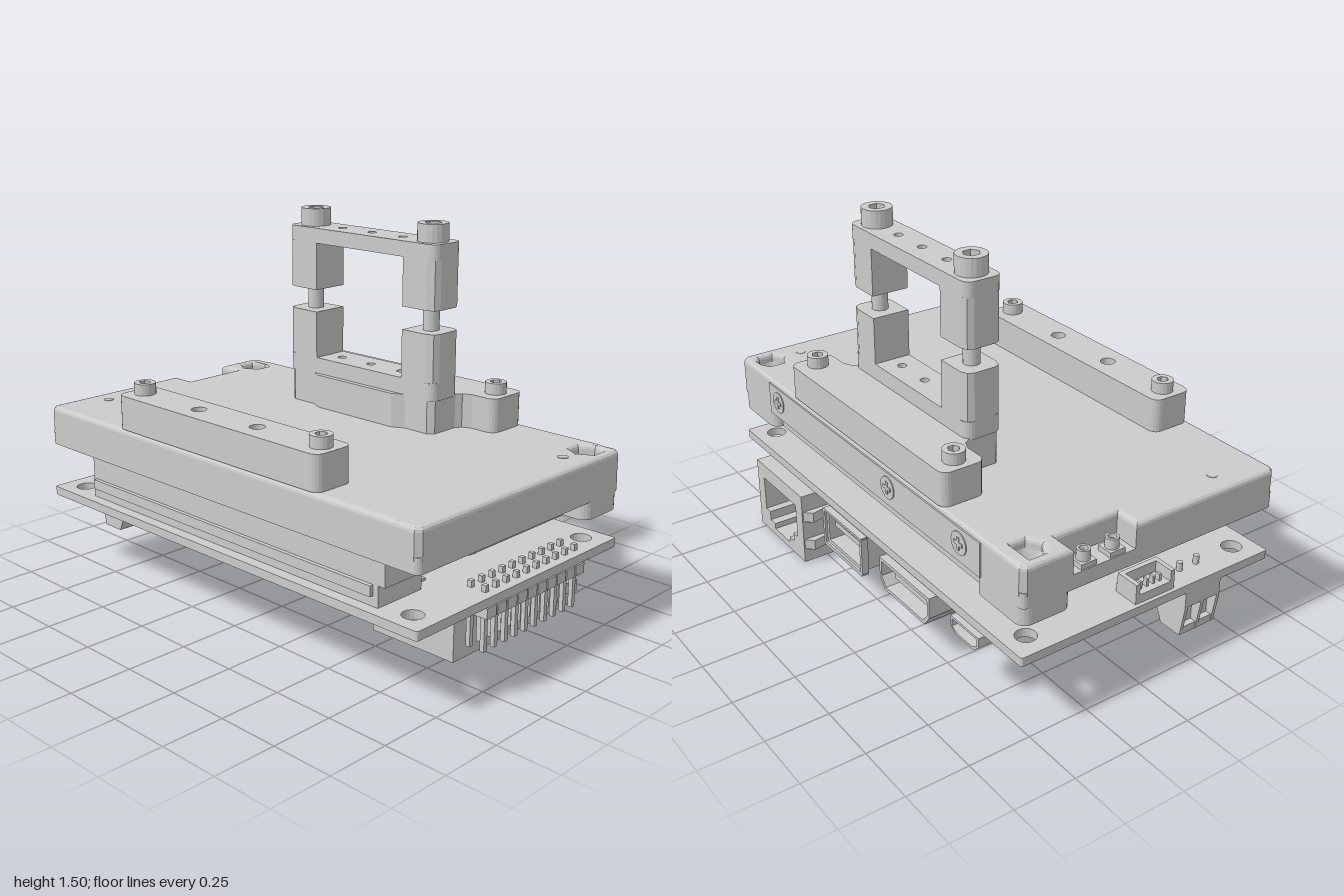
import * as THREE from 'three';

const grey = new THREE.MeshStandardMaterial({ color: 0xcccccc, side: THREE.DoubleSide });

export function createModel() {
  const root = new THREE.Group();

  const add = (name, geo, x = 0, y = 0, z = 0) => {
    const m = new THREE.Mesh(geo, grey);
    m.name = name;
    m.position.set(x, y, z);
    root.add(m);
    return m;
  };
  // box from its limits
  const box = (name, x0, x1, y0, y1, z0, z1) =>
    add(name, new THREE.BoxGeometry(x1 - x0, y1 - y0, z1 - z0), (x0 + x1) / 2, (y0 + y1) / 2, (z0 + z1) / 2);
  const cyl = (name, r, y0, y1, x, z, n = 20) =>
    add(name, new THREE.CylinderGeometry(r, r, y1 - y0, n), x, (y0 + y1) / 2, z);
  // closed outline from points; the second coordinate is z in plan
  const plan = (pts) => new THREE.Shape(pts.map(([x, z]) => new THREE.Vector2(x, -z)));
  const roundRect = (x0, x1, z0, z1, r) => {
    const pts = [];
    [[x1 - r, z1 - r], [x0 + r, z1 - r], [x0 + r, z0 + r], [x1 - r, z0 + r]].forEach(([cx, cz], k) => {
      for (let i = 0; i <= 5; i++) {
        const a = (k + i / 5) * Math.PI / 2;
        pts.push([cx + r * Math.cos(a), cz + r * Math.sin(a)]);
      }
    });
    return plan(pts);
  };
  const hole = (x, z, r, n = 20) => {
    const pts = [];
    for (let i = 0; i < n; i++) {
      const a = i / n * Math.PI * 2;
      pts.push(new THREE.Vector2(x + r * Math.cos(a), -z + r * Math.sin(a)));
    }
    return new THREE.Path(pts);
  };
  // horizontal plate: plan outline raised from y0 to y1
  const slab = (name, shape, y0, y1, holes = [], bevel = 0) => {
    shape.holes.push(...holes);
    const g = new THREE.ExtrudeGeometry(shape, {
      depth: y1 - y0 - 2 * bevel, bevelEnabled: bevel > 0, bevelThickness: bevel,
      bevelSize: bevel, bevelOffset: -bevel, bevelSegments: 3,
    });
    g.rotateX(-Math.PI / 2);
    return add(name, g, 0, y0 + bevel, 0);
  };
  // profile of [z, y] points run along x, with an optional opening
  const alongX = (name, pts, x0, x1, opening) => {
    const v = (p) => p.map(([z, y]) => new THREE.Vector2(-z, y));
    const s = new THREE.Shape(v(pts));
    if (opening) s.holes.push(new THREE.Path(v(opening)));
    const g = new THREE.ExtrudeGeometry(s, { depth: x1 - x0, bevelEnabled: false });
    g.rotateY(Math.PI / 2);
    return add(name, g, x0, 0, 0);
  };
  const socketScrew = (name, x, z, y0, y1, r) => {
    slab(name, roundRect(x - r, x + r, z - r, z + r, r * 0.99), y0, y1, [hole(x, z, r * 0.55, 6)]);
    cyl(name + 'Core', r * 0.7, y0, (y0 + y1) / 2, x, z);
  };

  const corners = [-0.515, 0.45].flatMap((x) => [[x, -0.905], [x, 0.905]]);
  const cornerHoles = (r, n) => corners.map(([x, z]) => hole(x, z, r, n));

  // main housing: base layer and bevelled cover with a notch at the back
  slab('housingBase', roundRect(-0.605, 0.54, -1, 1, 0.025), 0.54, 0.60, cornerHoles(0.04, 6));
  const cover = plan([[-0.585, 1], [0.52, 1], [0.54, 0.98], [0.54, -0.98], [0.52, -1], [0.33, -1], [0.33, -0.9],
    [0.06, -0.9], [0.06, -1], [-0.585, -1], [-0.605, -0.98], [-0.605, 0.98]]);
  slab('housingCover', cover, 0.57, 0.70, cornerHoles(0.06, 6), 0.018);
  for (const [x, z] of corners) {
    const sink = new THREE.LatheGeometry([[0.04, 0.54], [0.04, 0.62], [0.078, 0.699]].map((p) => new THREE.Vector2(...p)), 6);
    sink.rotateY(Math.PI / 2);
    add('countersink', sink, x, 0, z);
  }
  for (const x of [0.135, 0.26]) {
    box('antennaSocketBase', x - 0.033, x + 0.033, 0.60, 0.62, -0.995, -0.93);
    slab('antennaSocket', roundRect(x - 0.025, x + 0.025, -0.988, -0.938, 0.0245), 0.62, 0.66, [hole(x, -0.963, 0.016)]);
    cyl('antennaPin', 0.007, 0.62, 0.65, x, -0.963, 8);
  }
  for (const [x, z] of [[-0.38, -0.905], [0.31, 0.9]]) cyl('statusDot', 0.02, 0.69, 0.702, x, z);

  // side panel with cross-head screws
  box('sidePanel', 0.53, 0.546, 0.545, 0.68, -0.77, 0.74);
  for (const z of [0.66, -0.19, -0.65]) {
    cyl('sideScrew', 0.045, -0.004, 0.004, 0, 0).rotation.z = Math.PI / 2;
    root.children.at(-1).position.set(0.546, 0.62, z);
    box('sideScrewCross', 0.546, 0.553, 0.613, 0.627, z - 0.025, z + 0.025);
    box('sideScrewCross', 0.546, 0.553, 0.595, 0.645, z - 0.007, z + 0.007);
  }

  // underside of the housing with corner ears
  slab('lowerHousing', plan([[-0.3, -0.8], [-0.22, -0.9], [0.4, -0.9], [0.5, -0.8], [0.5, 0.8], [0.4, 0.9],
    [-0.22, 0.9], [-0.3, 0.8]]), 0.47, 0.545);
  for (const s of [-1, 1]) {
    const z = s * 0.865;
    slab('cornerEar', roundRect(0.33, 0.54, z - 0.135, z + 0.135, 0.04), 0.47, 0.545, [hole(0.45, s * 0.905, 0.04, 6)]);
  }

  // mounting rails
  slab('leftRail', roundRect(-0.60, -0.425, -0.545, 0.545, 0.035), 0.70, 0.835,
    [-0.16, 0.16].map((z) => hole(-0.513, z, 0.03)));
  slab('rightRail', roundRect(0.36, 0.54, -0.545, 0.545, 0.035), 0.70, 0.835);
  slab('handleFoot', plan([[0.155, -0.2], [0.18, -0.25], [0.18, -0.36], [0.2, -0.385], [0.32, -0.385], [0.345, -0.4],
    [0.37, -0.46], [0.37, 0.46], [0.345, 0.4], [0.32, 0.385], [0.2, 0.385], [0.18, 0.36], [0.18, 0.25], [0.155, 0.2]]), 0.70, 0.835);
  for (const z of [-0.48, 0.48]) for (const x of [-0.513, 0.45]) socketScrew('railScrew', x, z, 0.835, 0.88, 0.042);

  // two-part clamp handle
  const barHoles = () => [-0.16, 0, 0.16].map((z) => hole(0.255, z, 0.018, 12));
  const bar = () => roundRect(0.177, 0.333, -0.39, 0.39, 0.035);
  slab('lowerClampBar', bar(), 0.83, 0.90, barHoles());
  slab('upperClampBar', bar(), 1.37, 1.43, barHoles());
  for (const s of [-1, 1]) {
    const post = () => {
      const p = [[0.177, 0.23], [0.333, 0.23], [0.333, 0.35], [0.322, 0.38], [0.298, 0.39], [0.212, 0.39], [0.188, 0.38], [0.177, 0.35]];
      return plan(p.map(([x, z]) => [x, z * s]));
    };
    slab('lowerClampPost', post(), 0.88, 1.09);
    slab('upperClampPost', post(), 1.18, 1.40);
    cyl('clampRod', 0.032, 1.08, 1.19, 0.255, s * 0.31);
    socketScrew('clampScrew', 0.255, s * 0.31, 1.43, 1.5, 0.06);
  }

  // circuit board
  slab('circuitBoard', roundRect(-0.605, 0.54, -1, 1, 0.01), 0.315, 0.35, cornerHoles(0.04));

  // long board-to-housing connector
  box('edgeConnectorBase', -0.56, -0.34, 0.35, 0.435, -0.78, 0.79);
  box('edgeConnectorTop', -0.56, -0.30, 0.43, 0.54, -0.78, 0.82);
  for (const x of [-0.57, -0.31]) box('edgeConnectorRidge', x - 0.008, x + 0.008, 0.39, 0.43, -0.76, 0.77);
  for (let i = 0; i < 40; i++) {
    const z = -0.74 + i * 0.038;
    box('contactPin', -0.335, -0.27, 0.35, 0.36, z - 0.007, z + 0.007);
    box('contactPin', -0.345, -0.325, 0.35, 0.395, z - 0.007, z + 0.007);
  }

  // double-row pin header
  box('pinHeaderStrip', -0.225, 0.355, 0.265, 0.30, 0.865, 0.985);
  for (let i = 0; i < 10; i++) for (const z of [0.895, 0.957]) {
    const x = -0.2 + i * 0.0585;
    box('headerPin', x - 0.009, x + 0.009, 0.125, 0.375, z - 0.009, z + 0.009);
    box('headerCollar', x - 0.026, x + 0.026, 0.262, 0.303, z - 0.032, z + 0.032);
  }

  // network socket with stepped opening
  const rect = (z0, z1, y0, y1) => [[z0, y0], [z1, y0], [z1, y1], [z0, y1]];
  box('networkSocketBack', -0.155, 0.25, 0.005, 0.315, 0.40, 0.79);
  alongX('networkSocket', rect(0.40, 0.79, 0.005, 0.315), 0.25, 0.605,
    [[0.455, 0.25], [0.735, 0.25], [0.735, 0.10], [0.70, 0.10], [0.70, 0.06], [0.66, 0.06], [0.66, 0.035],
      [0.53, 0.035], [0.53, 0.06], [0.49, 0.06], [0.49, 0.10], [0.455, 0.10]]);
  for (let i = 0; i < 8; i++) box('networkContact', 0.3, 0.58, 0.225, 0.25, 0.497 + i * 0.027, 0.507 + i * 0.027);
  for (const y of [0.09, 0.22]) for (const s of [-1, 1]) {
    const face = 0.595 + s * 0.195;
    slab('springTab', plan([[0.60, face], [0.42, face], [0.57, face + s * 0.03]]), y - 0.022, y + 0.022);
  }
  for (let i = 0; i < 8; i++) cyl('socketSolderPin', 0.011, 0.34, 0.385, -0.02 + (i % 2) * 0.06, 0.48 + i * 0.033, 8);

  // row of side ports
  const usb = rect(-0.01, 0.26, 0.165, 0.315);
  alongX('usbShell', usb, 0.2, 0.565, rect(0.005, 0.245, 0.18, 0.30));
  box('usbBack', 0.2, 0.25, 0.17, 0.31, 0, 0.255);
  box('usbTongue', 0.24, 0.55, 0.25, 0.275, 0.03, 0.22);
  for (const [y0, y1] of [[0.15, 0.165], [0.31, 0.32]]) box('usbFlare', 0.545, 0.575, y0, y1, -0.02, 0.27);
  for (const z of [-0.025, 0.26]) box('usbFlare', 0.545, 0.575, 0.16, 0.315, z, z + 0.015);
  const videoPort = (o) => [[-0.49 + o, 0.31 - o], [-0.15 - o, 0.31 - o], [-0.15 - o, 0.225 + o * 0.5],
    [-0.185 - o * 0.5, 0.18 + o], [-0.455 + o * 0.5, 0.18 + o], [-0.49 + o, 0.225 + o * 0.5]];
  alongX('videoPortShell', videoPort(0), 0.22, 0.57, videoPort(0.014));
  box('videoPortBack', 0.22, 0.28, 0.19, 0.315, -0.475, -0.165);
  box('videoPortTongue', 0.26, 0.54, 0.235, 0.262, -0.43, -0.21);
  const micro = (o) => [[-0.79 + o, 0.315 - o], [-0.62 - o, 0.315 - o], [-0.62 - o, 0.275], [-0.65 - o, 0.25 + o], [-0.76 + o, 0.25 + o], [-0.79 + o, 0.275]];
  alongX('powerPortShell', micro(0), 0.38, 0.565, micro(0.01));
  box('powerPortTongue', 0.38, 0.54, 0.28, 0.292, -0.75, -0.66);

  // memory card slot under the board
  box('cardSlot', -0.05, 0.33, 0.285, 0.318, -0.92, -0.52);
  box('cardSlotLip', -0.03, 0.31, 0.278, 0.29, -0.90, -0.62);

  // two-way terminal block
  alongX('terminalBlock', [[-0.83, 0.315], [-0.83, 0.23], [-0.88, 0.12], [-0.955, 0.12], [-0.955, 0.315]], -0.37, -0.20);
  const cheek = [[-0.95, 0.315], [-0.95, 0.12], [-0.98, 0.12], [-1.0, 0.24], [-1.0, 0.315]];
  for (const x of [-0.37, -0.292, -0.214]) alongX('terminalCheek', cheek, x, x + 0.014);
  box('terminalSill', -0.37, -0.20, 0.12, 0.15, -0.98, -0.95);
  box('terminalHead', -0.37, -0.20, 0.25, 0.315, -1.0, -0.95);
  for (const x of [-0.328, -0.246]) {
    cyl('terminalScrew', 0.025, 0.112, 0.13, x, -0.92);
    cyl('terminalSolderPin', 0.012, 0.34, 0.385, x, -0.91, 8);
  }

  // small socket on top of the board at the back
  box('rearSocket', -0.15, 0.03, 0.35, 0.385, -0.985, -0.88);
  box('rearSocketWall', -0.15, 0.03, 0.38, 0.43, -0.905, -0.885);
  for (const x of [-0.15, 0.012]) box('rearSocketCheek', x, x + 0.018, 0.38, 0.43, -0.985, -0.885);
  for (let i = 0; i < 4; i++) box('rearSocketPin', -0.11 + i * 0.03, -0.10 + i * 0.03, 0.38, 0.415, -0.96, -0.94);

  return root;
}
